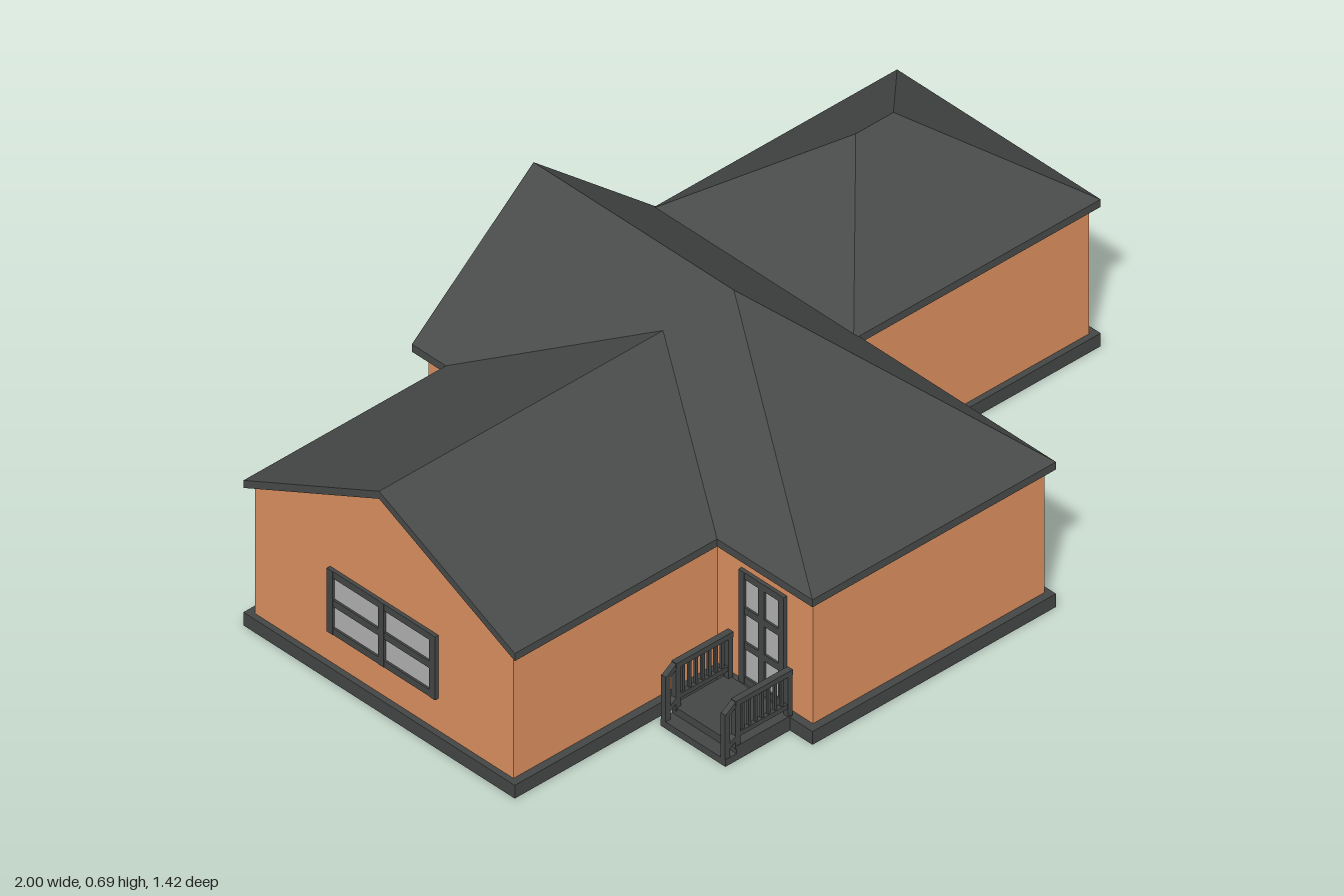
import * as THREE from 'three';

const mat = (color) => new THREE.MeshStandardMaterial({ color, side: THREE.DoubleSide, flatShading: true });

export function createModel() {
  const house = new THREE.Group();
  house.name = 'house';
  const brick = mat(0xdd9160), slate = mat(0x484a4a), trim = mat(0x444646), glass = mat(0xb2b2b2), panelMat = mat(0x4c4e4e);

  const add = (parent, name, geometry, material) => {
    const mesh = new THREE.Mesh(geometry, material);
    mesh.name = name;
    parent.add(mesh);
    return mesh;
  };
  const box = (parent, name, material, x0, x1, y0, y1, z0, z1) => {
    const mesh = add(parent, name, new THREE.BoxGeometry(x1 - x0, y1 - y0, z1 - z0), material);
    mesh.position.set((x0 + x1) / 2, (y0 + y1) / 2, (z0 + z1) / 2);
    return mesh;
  };

  // Framed opening on a wall: u is the distance along the wall
  const opening = (wall, name, u, y, w, h, cols, rows, fill = glass) => {
    const g = new THREE.Group();
    g.name = name;
    wall.add(g);
    const t = 0.018, x0 = u - w / 2, x1 = u + w / 2, y0 = y, y1 = y + h;
    box(g, 'pane', fill, x0 + 0.005, x1 - 0.005, y0 + 0.005, y1 - 0.005, -0.014, 0.004);
    for (let i = 0; i <= cols; i++) {
      const x = x0 + (w - t) * i / cols;
      box(g, 'upright', trim, x, x + t, y0, y1, -0.02, 0.01);
    }
    for (let j = 0; j <= rows; j++) {
      const b = y0 + (h - t) * j / rows;
      box(g, 'crossbar', trim, x0, x1, b, b + t, -0.019, 0.009);
    }
  };

  // Wall from a to b (x, z), outer face on its right-hand side, optional gable peak
  const FLOOR = 0.035, TOP = 0.376;
  const wall = (name, a, b, peak) => {
    const dx = b[0] - a[0], dz = b[1] - a[1], len = Math.hypot(dx, dz);
    const g = new THREE.Group();
    g.name = name;
    g.position.set(a[0], 0, a[1]);
    g.rotation.y = Math.atan2(-dz, dx);
    house.add(g);
    const pts = [[0, FLOOR], [len, FLOOR], [len, TOP]];
    if (peak) pts.push([len / 2, peak]);
    pts.push([0, TOP]);
    const shape = new THREE.Shape(pts.map(p => new THREE.Vector2(...p)));
    const geo = new THREE.ExtrudeGeometry(shape, { depth: 0.01, bevelEnabled: false });
    geo.translate(0, 0, -0.01);
    add(g, 'wallPanel', geo, brick);
    return g;
  };

  // Main block and side wing walls
  wall('frontWall', [-0.39, 0.69], [0.285, 0.69]);
  const east = wall('eastWall', [0.285, 0.69], [0.285, -0.5]);
  opening(east, 'eastWindow', 0.3, 0.12, 0.335, 0.168, 2, 2);
  const back = wall('backGableWall', [0.285, -0.5], [-0.39, -0.5], 0.664);
  opening(back, 'backWindow', 0.145, 0.12, 0.165, 0.168, 2, 2);
  opening(back, 'backWindow', 0.53, 0.12, 0.165, 0.168, 2, 2);
  opening(back, 'backDoor', 0.338, FLOOR, 0.14, 0.295, 2, 3);
  wall('returnWall', [-0.39, -0.5], [-0.39, -0.405]);
  const wingBack = wall('wingBackWall', [-0.39, -0.405], [-0.985, -0.405]);
  opening(wingBack, 'wingBackWindow', 0.33, 0.12, 0.31, 0.168, 2, 2);
  const wingEnd = wall('wingGableWall', [-0.985, -0.405], [-0.985, 0.395], 0.564);
  opening(wingEnd, 'wingEndWindow', 0.4, 0.12, 0.335, 0.168, 2, 2);
  wall('wingFrontWall', [-0.985, 0.395], [-0.39, 0.395]);
  const doorWall = wall('sideDoorWall', [-0.39, 0.395], [-0.39, 0.69]);
  opening(doorWall, 'sideDoor', 0.145, FLOOR, 0.14, 0.295, 2, 3);

  // Garage walls
  wall('garageFrontWall', [0.285, 0.09], [0.98, 0.09]);
  wall('garageEastWall', [0.98, 0.09], [0.98, -0.5]);
  const garageBack = wall('garageBackWall', [0.98, -0.5], [0.285, -0.5]);
  opening(garageBack, 'garageDoor', 0.35, FLOOR, 0.63, 0.3, 1, 1, panelMat);

  // Plinth: an open ring under the house, a solid slab under the garage
  const outline = (pts) => pts.map(([x, z]) => new THREE.Vector2(x, -z));
  const plinth = new THREE.Shape(outline([[-0.41, 0.71], [0.3, 0.71], [0.3, -0.53], [-0.41, -0.53],
    [-0.41, -0.425], [-1, -0.425], [-1, 0.415], [-0.41, 0.415]]));
  plinth.holes.push(new THREE.Path(outline([[-0.38, 0.68], [0.275, 0.68], [0.275, -0.49], [-0.38, -0.49],
    [-0.38, -0.395], [-0.975, -0.395], [-0.975, 0.385], [-0.38, 0.385]])));
  const plinthGeo = new THREE.ExtrudeGeometry(plinth, { depth: FLOOR, bevelEnabled: false });
  plinthGeo.rotateX(-Math.PI / 2);
  add(house, 'housePlinth', plinthGeo, trim);
  box(house, 'garageFloor', trim, 0.285, 1, 0, FLOOR - 0.0005, -0.53, 0.105);

  // Driveway ramp
  const ramp = new THREE.Shape([[0.53, 0], [0.63, 0], [0.53, FLOOR]].map(p => new THREE.Vector2(...p)));
  const rampGeo = new THREE.ExtrudeGeometry(ramp, { depth: 0.65, bevelEnabled: false });
  rampGeo.rotateY(Math.PI / 2);
  add(house, 'garageRamp', rampGeo, trim).position.x = 0.3;

  // Roof planes: convex polygons thickened straight down
  const slab = (name, pts, t = 0.02) => {
    const pos = [], n = pts.length;
    const low = pts.map(([x, y, z]) => [x, y - t, z]);
    for (let i = 1; i < n - 1; i++) {
      pos.push(...pts[0], ...pts[i], ...pts[i + 1], ...low[0], ...low[i + 1], ...low[i]);
    }
    for (let i = 0; i < n; i++) {
      const j = (i + 1) % n;
      pos.push(...low[i], ...low[j], ...pts[j], ...low[i], ...pts[j], ...pts[i]);
    }
    const geo = new THREE.BufferGeometry();
    geo.setAttribute('position', new THREE.Float32BufferAttribute(pos, 3));
    geo.computeVertexNormals();
    add(house, name, geo, slate);
  };
  const E = 0.385, R = 0.685, W = 0.586, G = 0.61, GE = 0.39;
  const hip = [-0.055, R, 0.09], ridgeBack = [-0.055, R, -0.53];
  slab('mainRoofEast', [[0.3, E, 0.71], [0.3, E, -0.53], ridgeBack, hip]);
  slab('mainRoofWest', [[-0.41, E, -0.53], [-0.41, E, 0.71], hip, ridgeBack]);
  slab('mainRoofHip', [[-0.41, E, 0.71], [0.3, E, 0.71], hip]);
  const wingA = [-1, W, -0.005], wingB = [-0.172, W, -0.005];
  slab('wingRoofFront', [[-1, E, 0.415], [-0.41, E, 0.415], wingB, wingA]);
  slab('wingRoofBack', [[-0.41, E, -0.425], [-1, E, -0.425], wingA, wingB]);
  const gA = [0.58, G, -0.207], gB = [0.69, G, -0.207];
  const c = [[0.28, GE, 0.105], [1, GE, 0.105], [1, GE, -0.525], [0.28, GE, -0.525]];
  slab('garageRoofFront', [c[0], c[1], gB, gA]);
  slab('garageRoofEast', [c[1], c[2], gB]);
  slab('garageRoofBack', [c[2], c[3], gA, gB]);
  slab('garageRoofWest', [c[3], c[0], gA]);

  // Porch with a step and a railing on each side; local +z leads away from the wall
  const porch = (name, x, z, angle, width) => {
    const g = new THREE.Group();
    g.name = name;
    g.position.set(x, 0, z);
    g.rotation.y = angle;
    house.add(g);
    const h = width / 2;
    box(g, 'platform', trim, -h, h, 0, 0.038, 0.02, 0.18);
    box(g, 'step', trim, -h, h, 0, 0.018, 0.18, 0.213);
    for (const s of [-1, 1]) {
      const m = s * (h - 0.008);
      const rail = (part, r, y0, y1, z0, z1) => box(g, part, trim, m - r, m + r, y0, y1, z0, z1);
      rail('topRail', 0.008, 0.143, 0.157, 0.016, 0.182);
      rail('bottomRail', 0.006, 0.058, 0.07, 0.016, 0.18);
      rail('wallPost', 0.007, 0.03, 0.15, 0.016, 0.03);
      rail('cornerPost', 0.007, 0.03, 0.15, 0.168, 0.182);
      rail('stepPost', 0.007, 0.01, 0.136, 0.199, 0.213);
      for (let i = 1; i < 8; i++) {
        const b = 0.023 + 0.152 * i / 8;
        rail('baluster', 0.003, 0.065, 0.146, b - 0.004, b + 0.004);
      }
      for (const y of [0.14, 0.05]) {
        const slope = rail('slopedRail', 0.007, y - 0.006, y + 0.006, 0.173, 0.213);
        slope.rotation.x = 0.6;
      }
    }
  };
  porch('backPorch', -0.055, -0.5, Math.PI, 0.23);
  porch('sidePorch', -0.385, 0.54, -Math.PI / 2, 0.2);

  return house;
}
